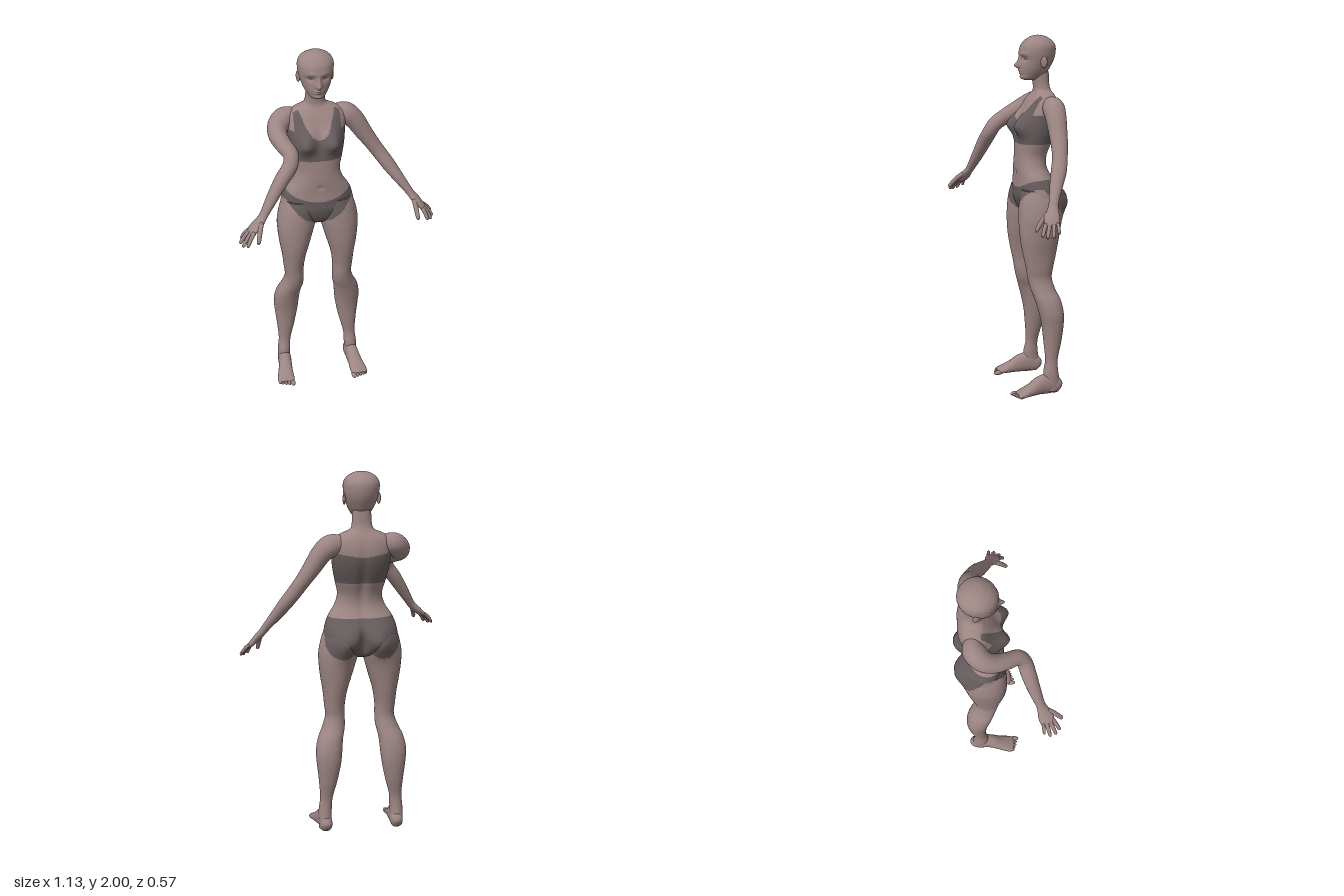
import * as THREE from 'three';

const CX = -0.085; // body centre line
const skin = new THREE.MeshStandardMaterial({ color: 0x9c8583 });
skin.name = 'skin';
const cloth = new THREE.MeshStandardMaterial({ color: 0x655b5c });
cloth.name = 'dark cloth';

const clamp = (v) => Math.min(1, Math.max(0, v));
const gauss = (a, sa, b, sb) => Math.exp(-((a / sa) ** 2) - (b / sb) ** 2);
const power = (v, p) => Math.sign(v) * Math.abs(v) ** p;

// Catmull-Rom blend through rows of numbers, f in 0..1
function sample(rows, f) {
  const n = rows.length - 1, k = Math.min(n - 1, Math.floor(f * n)), t = f * n - k;
  const [p, q, r, s] = [-1, 0, 1, 2].map((d) => rows[Math.min(n, Math.max(0, k + d))]);
  return q.map((_, i) => q[i] + 0.5 * t * (r[i] - p[i]
    + t * (2 * p[i] - 5 * q[i] + 4 * r[i] - s[i] + t * (3 * (q[i] - r[i]) + s[i] - p[i]))));
}

// Closed skin over rows [x, y, z, halfWidth, halfDepth]; rings are level, or follow the path
function loft(name, rows, { seg = 32, rings = 60, follow = false, p = 1, shape = null, dark = null } = {}) {
  const pos = [], light = [], shade = [], v = new THREE.Vector3();
  const Y = new THREE.Vector3(0, 1, 0), Z = new THREE.Vector3(0, 0, 1);
  const add = () => { if (shape) shape(v); pos.push(v.x, v.y, v.z); };
  for (let i = 0; i <= rings; i++) {
    const f = i / rings, [x, y, z, a, b] = sample(rows, f);
    const t = Y.clone();
    if (follow) {
      const m = sample(rows, Math.max(0, f - 0.02)), n = sample(rows, Math.min(1, f + 0.02));
      t.set(n[0] - m[0], n[1] - m[1], n[2] - m[2]).normalize();
    }
    const u = new THREE.Vector3().crossVectors(follow ? Y : Z, t).normalize();
    const w = new THREE.Vector3().crossVectors(t, u);
    for (let j = 0; j < seg; j++) {
      const q = (j / seg) * Math.PI * 2;
      v.set(x, y, z).addScaledVector(u, a * power(Math.cos(q), p)).addScaledVector(w, b * power(Math.sin(q), p));
      add();
    }
  }
  const end = pos.length / 3;
  for (const r of [rows[0], rows[rows.length - 1]]) { v.set(r[0], r[1], r[2]); add(); }
  const tri = (a, b, c) => {
    const m = [0, 1, 2].map((k) => (pos[a * 3 + k] + pos[b * 3 + k] + pos[c * 3 + k]) / 3);
    (dark && dark(Math.abs(m[0] - CX), m[1], m[2]) ? shade : light).push(a, b, c);
  };
  for (let j = 0; j < seg; j++) {
    const k = (j + 1) % seg, top = rings * seg;
    for (let i = 0; i < rings; i++) {
      const o = i * seg;
      tri(o + j, o + k, o + seg + j);
      tri(o + k, o + seg + k, o + seg + j);
    }
    tri(end, k, j);
    tri(end + 1, top + j, top + k);
  }
  const g = new THREE.BufferGeometry();
  g.setAttribute('position', new THREE.Float32BufferAttribute(pos, 3));
  g.setIndex([...light, ...shade]);
  g.addGroup(0, light.length, 0);
  g.addGroup(light.length, shade.length, 1);
  g.computeVertexNormals();
  const mesh = new THREE.Mesh(g, [skin, cloth]);
  mesh.name = name;
  return mesh;
}

// Level row from [y, inner, outer, zFront, zBack] on side s
const level = (s) => ([y, i, o, f, b]) => [CX + s * (i + o) / 2, y, (f + b) / 2, (o - i) / 2, (f - b) / 2];

// Bust, buttocks and spine
function bodyShape(v) {
  const dx = Math.abs(v.x - CX), { y, z } = v;
  const front = clamp((z + 0.11) / 0.06), back = clamp((-0.11 - z) / 0.08);
  v.z += front * 0.058 * gauss(dx - 0.08, 0.055, y - 1.51, y < 1.51 ? 0.055 : 0.075);
  v.z -= front * 0.008 * gauss(dx, 0.012, y - 1.25, 0.012);
  v.z -= back * (0.05 * gauss(dx - 0.09, 0.07, y - 1.09, 0.08)
    - 0.035 * gauss(dx, 0.02, y - 1.08, 0.08) - 0.014 * gauss(dx, 0.025, y - 1.4, 0.17));
}

function briefs(dx, y, z) {
  const top = z > -0.12 ? 1.165 + 1.7 * dx * dx : 1.22;
  let low = Math.min(1.17, 1.02 + 0.25 * dx + 3.2 * dx * dx);
  if (z < -0.12) low = Math.max(1, Math.min(low, 1.17 + (z + 0.12) * 1.25));
  return y < top && y > low;
}

function clothing(dx, y, z) {
  if (y < 1.3) return y < 1.03 || briefs(dx, y, z);
  if (y < 1.41) return false;
  if (z < -0.13) return y < 1.555 + 0.15 * dx;
  return y < Math.min(1.53 + 15 * dx * dx, 1.672) && (y < 1.57 || dx < 0.128);
}

// Nose, brow, eye sockets, lips and chin
function faceShape(v) {
  const dx = Math.abs(v.x - CX), { y, z } = v, w = clamp((z + 0.12) / 0.05);
  v.z += w * (0.032 * gauss(dx, 0.014, y - 1.835, 0.017) + 0.014 * gauss(dx, 0.013, y - 1.862, 0.022)
    - 0.012 * gauss(dx - 0.04, 0.022, y - 1.873, 0.015) + 0.005 * gauss(dx - 0.035, 0.035, y - 1.9, 0.014)
    + 0.01 * gauss(dx, 0.022, y - 1.807, 0.006) + 0.009 * gauss(dx, 0.022, y - 1.794, 0.006)
    + 0.008 * gauss(dx, 0.025, y - 1.77, 0.012));
}

function ball(name, x, y, z, sx, sy, sz) {
  const m = new THREE.Mesh(new THREE.SphereGeometry(1, 20, 14), skin);
  m.position.set(x, y, z);
  m.scale.set(sx, sy, sz);
  m.name = name;
  return m;
}

// Slightly bent finger from root to tip
function finger(name, a, b, r) {
  const mid = a.map((c, i) => (c + b[i]) / 2 + (i === 1 ? 0.006 : 0));
  const near = a.map((c, i) => c + (b[i] - c) * 0.93);
  return loft(name, [[...a, r, r], [...mid, r, r], [...near, r * 0.8, r * 0.8], [...b, r * 0.2, r * 0.2]],
    { seg: 12, rings: 12, follow: true });
}

function arm(side, rows, index, pinky, tips, thumb) {
  const g = new THREE.Group();
  g.name = side + 'Arm';
  g.add(loft(side + 'ArmAndPalm', rows, { follow: true, rings: 90 }));
  tips.forEach((tip, i) => {
    const root = index.map((c, k) => c + (pinky[k] - c) * i / 3);
    g.add(finger(side + 'Finger', root, tip, i === 3 ? 0.009 : 0.011));
  });
  g.add(finger(side + 'Thumb', thumb[0], thumb[1], 0.013));
  return g;
}

export function createModel() {
  const model = new THREE.Group();
  model.name = 'figure';

  // Torso and neck: [y, halfWidth, zFront, zBack]
  const torso = [
    [1.0, 0.03, -0.09, -0.18], [1.03, 0.1, -0.04, -0.22], [1.1, 0.195, -0.012, -0.245], [1.16, 0.197, -0.01, -0.24],
    [1.22, 0.175, -0.012, -0.205], [1.28, 0.137, -0.01, -0.18], [1.34, 0.122, -0.012, -0.182],
    [1.41, 0.137, -0.015, -0.208], [1.48, 0.152, -0.025, -0.235], [1.54, 0.16, -0.04, -0.25],
    [1.6, 0.165, -0.062, -0.25], [1.645, 0.155, -0.085, -0.24], [1.675, 0.115, -0.105, -0.225],
    [1.697, 0.066, -0.115, -0.213], [1.73, 0.053, -0.115, -0.203], [1.8, 0.05, -0.1, -0.2],
  ].map(([y, w, f, b]) => level(1)([y, -w, w, f, b]));
  model.add(loft('torso', torso, { seg: 120, rings: 180, p: 0.88, shape: bodyShape, dark: clothing }));

  // Head, eyes coloured on the face
  const head = [
    [1.755, 0.025, -0.065, -0.12], [1.765, 0.042, -0.048, -0.15], [1.79, 0.06, -0.042, -0.185],
    [1.82, 0.075, -0.039, -0.205], [1.86, 0.088, -0.039, -0.226], [1.9, 0.096, -0.036, -0.237],
    [1.94, 0.096, -0.042, -0.237], [1.97, 0.08, -0.065, -0.218], [1.99, 0.05, -0.095, -0.187],
    [1.997, 0.027, -0.115, -0.165], [2.0, 0.004, -0.136, -0.144],
  ].map(([y, w, f, b]) => level(1)([y, -w, w, f, b]));
  const eyes = (dx, y, z) => z > -0.12 && ((dx - 0.04) / 0.013) ** 2 + ((y - 1.873) / 0.005) ** 2 < 1;
  model.add(loft('head', head, { seg: 96, rings: 110, shape: faceShape, dark: eyes }));

  // Legs, feet and ears, mirrored: [y, inner, outer, zFront, zBack] from the centre line
  const leg = [
    [0.02, 0.172, 0.236, -0.12, -0.21], [0.07, 0.168, 0.238, -0.12, -0.213], [0.13, 0.165, 0.237, -0.12, -0.204],
    [0.2, 0.16, 0.23, -0.132, -0.202], [0.3, 0.135, 0.237, -0.125, -0.224], [0.4, 0.115, 0.248, -0.115, -0.238],
    [0.47, 0.107, 0.252, -0.1, -0.238], [0.54, 0.1, 0.238, -0.08, -0.224], [0.6, 0.087, 0.21, -0.06, -0.198],
    [0.66, 0.085, 0.192, -0.045, -0.182], [0.72, 0.085, 0.197, -0.035, -0.188], [0.8, 0.073, 0.205, -0.018, -0.205],
    [0.88, 0.05, 0.218, -0.005, -0.22], [0.95, 0.03, 0.226, 0, -0.232], [1.02, 0.012, 0.228, 0, -0.238],
    [1.1, 0.01, 0.212, -0.006, -0.235], [1.16, 0.02, 0.188, -0.02, -0.21],
  ];
  // Foot from heel to ball: [z, x, y, halfWidth, halfHeight]
  const foot = [
    [-0.222, 0.2, 0.035, 0.012, 0.014], [-0.205, 0.2, 0.043, 0.032, 0.04], [-0.15, 0.202, 0.06, 0.037, 0.057],
    [-0.1, 0.205, 0.055, 0.038, 0.053], [-0.05, 0.212, 0.038, 0.042, 0.036], [0, 0.218, 0.024, 0.049, 0.023],
    [0.025, 0.221, 0.018, 0.047, 0.016], [0.038, 0.222, 0.015, 0.04, 0.01],
  ];
  for (const s of [1, -1]) {
    const side = s > 0 ? 'left' : 'right';
    model.add(loft(side + 'Leg', leg.map(level(s)), { seg: 64, rings: 170, p: 0.94, shape: bodyShape, dark: briefs }));
    model.add(loft(side + 'Foot', foot.map(([z, x, y, w, h]) => [CX + s * x, y, z, w, h]),
      { follow: true, rings: 40, p: 0.9 }));
    [0.184, 0.206, 0.224, 0.241, 0.256].forEach((x, i) => model.add(ball(side + 'Toe', CX + s * x, 0.013, 0.042 - i * 0.005,
      i ? 0.0095 : 0.014, i ? 0.011 : 0.013, 0.028 - i * 0.002)));
    const ear = ball(side + 'Ear', CX + s * 0.092, 1.858, -0.148, 0.009, 0.032, 0.019);
    ear.rotation.y = s * -0.3;
    model.add(ear);
  }

  // Left arm hangs out to the side
  model.add(arm('left', [
    [0.03, 1.62, -0.175, 0.045, 0.05], [0.085, 1.613, -0.178, 0.06, 0.06], [0.135, 1.572, -0.176, 0.057, 0.055],
    [0.19, 1.49, -0.172, 0.05, 0.047], [0.235, 1.425, -0.166, 0.045, 0.041], [0.275, 1.368, -0.155, 0.041, 0.039],
    [0.32, 1.305, -0.135, 0.042, 0.037], [0.37, 1.235, -0.105, 0.035, 0.03], [0.425, 1.16, -0.075, 0.026, 0.022],
    [0.445, 1.132, -0.065, 0.029, 0.02], [0.475, 1.095, -0.05, 0.041, 0.019], [0.503, 1.063, -0.042, 0.039, 0.015],
    [0.512, 1.053, -0.04, 0.032, 0.01],
  ], [0.495, 1.064, -0.013], [0.513, 1.066, -0.07],
  [[0.522, 1.002, 0.015], [0.546, 0.998, -0.005], [0.561, 1.003, -0.034], [0.558, 1.022, -0.065]],
  [[0.45, 1.112, -0.035], [0.462, 1.02, 0.033]]));

  // Right arm reaches forward, then bends outward
  model.add(arm('right', [
    [-0.2, 1.62, -0.175, 0.045, 0.05], [-0.255, 1.615, -0.168, 0.06, 0.06], [-0.295, 1.585, -0.128, 0.057, 0.06],
    [-0.303, 1.557, -0.07, 0.05, 0.052], [-0.283, 1.53, -0.005, 0.045, 0.045], [-0.257, 1.5, 0.055, 0.041, 0.041],
    [-0.268, 1.45, 0.087, 0.041, 0.04], [-0.318, 1.383, 0.11, 0.04, 0.038], [-0.37, 1.305, 0.135, 0.034, 0.031],
    [-0.42, 1.227, 0.163, 0.026, 0.022], [-0.44, 1.2, 0.175, 0.029, 0.02], [-0.47, 1.17, 0.19, 0.041, 0.019],
    [-0.499, 1.146, 0.201, 0.039, 0.015], [-0.509, 1.138, 0.204, 0.032, 0.01],
  ], [-0.487, 1.15, 0.228], [-0.511, 1.148, 0.177],
  [[-0.53, 1.088, 0.266], [-0.553, 1.082, 0.246], [-0.565, 1.088, 0.214], [-0.555, 1.102, 0.182]],
  [[-0.445, 1.188, 0.203], [-0.474, 1.11, 0.283]]));

  return model;
}
